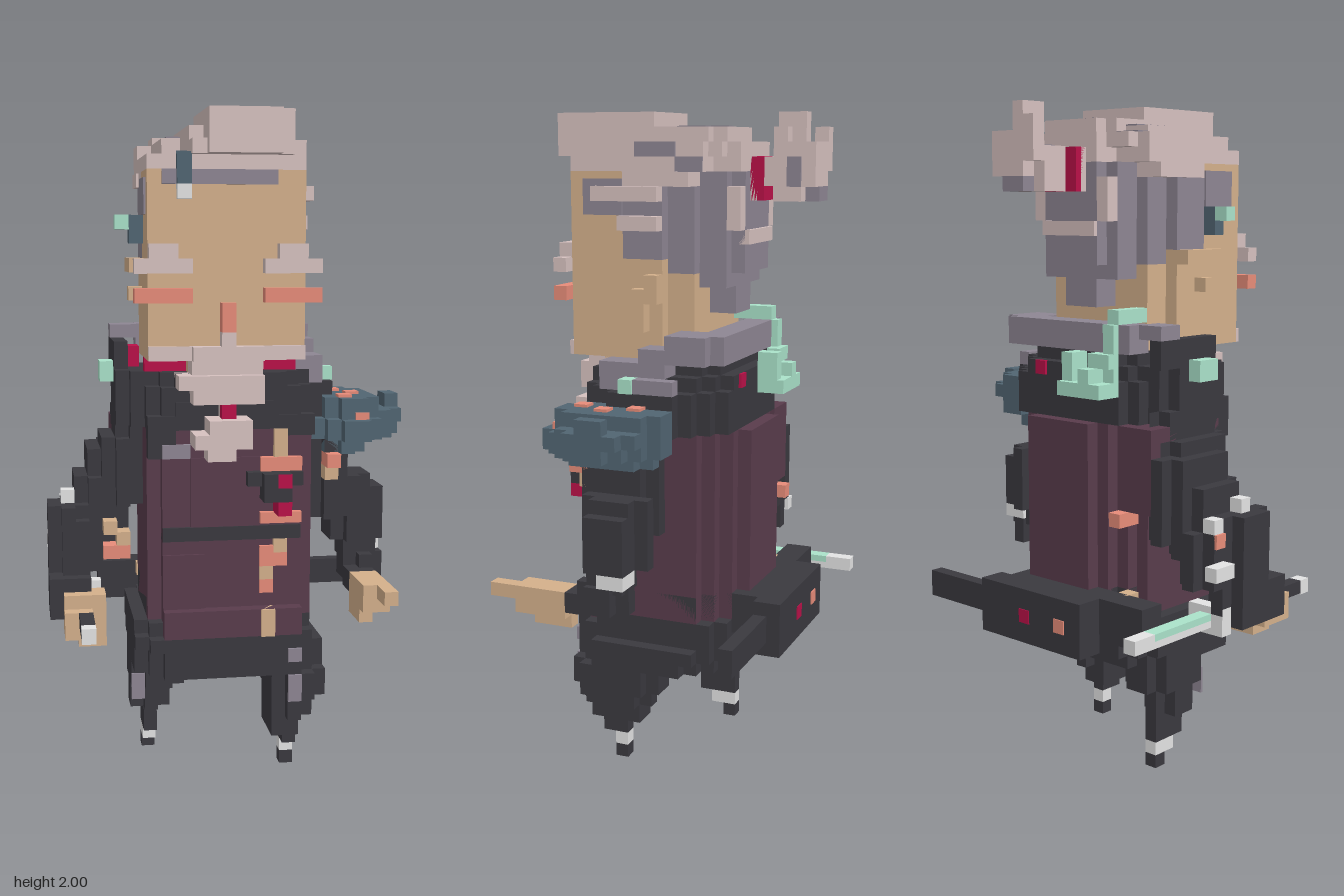
import * as THREE from 'three';
import { mergeGeometries } from 'three/addons/utils/BufferGeometryUtils.js';

// One cell of the block grid; x is centred, y starts at the ground, z counts 0 (back) to 21 (front)
const U = 2 / 48;

function mat(name, hex) {
  const m = new THREE.MeshStandardMaterial({ color: hex });
  m.name = name;
  return m;
}

function box(x0, x1, y0, y1, z0, z1) {
  const g = new THREE.BoxGeometry((x1 - x0) * U, (y1 - y0) * U, (z1 - z0) * U);
  g.translate((x0 + x1) / 2 * U, (y0 + y1) / 2 * U, ((z0 + z1) / 2 - 10.5) * U);
  return g;
}

export function createModel() {
  const root = new THREE.Group();
  const hair = mat('ash hair', 0xd6c1bf), grey = mat('grey hair', 0x8e8693), skin = mat('skin', 0xd4b08b);
  const salmon = mat('salmon', 0xe78c79), dark = mat('charcoal cloth', 0x3a393f), plum = mat('plum cloth', 0x593c4c);
  const blue = mat('slate blue', 0x516572), mint = mat('mint', 0xaae2ca), pale = mat('pale metal', 0xe3e3e3), red = mat('crimson', 0xb91148);

  // Each block is [x0, x1, y0, y1, z0, z1, corner]; corner cuts stepped corners in plan
  function part(name, material, ...blocks) {
    const geos = [];
    for (const [x0, x1, y0, y1, z0, z1, c = 0] of blocks)
      for (let i = 0; i <= c; i++) geos.push(box(x0 + i, x1 - i, y0, y1, z0 + c - i, z1 - c + i));
    const mesh = new THREE.Mesh(mergeGeometries(geos), material);
    mesh.name = name;
    root.add(mesh);
  }
  // Mirror across the face's centre line
  const both = (...bs) => bs.flatMap(b => [b, [-1 - b[1], -1 - b[0], ...b.slice(2)]]);

  // Head
  part('head', skin, [-6, 5, 31, 44, 13, 17], [-6, 5, 31, 38, 10, 13], [-5, 4, 31, 37, 8, 10], [-3, 2, 29, 31, 9, 16]);
  part('ears', skin, [5, 6, 33, 36, 11, 12], [5, 6, 35, 37, 10, 11], [-7, -6, 37, 38, 10, 14], [-7, -6, 35, 36, 12, 13]);
  part('eyebrows', hair, ...both([3, 5, 38, 39, 17, 18], [2, 6, 37, 38, 17, 18]));
  part('eyes', salmon, ...both([2, 6, 35, 36, 17, 18]));
  part('nose', salmon, [-1, 0, 33, 35, 17, 18]);
  part('beard', hair, [-1, 0, 32, 33, 17, 18], ...both([2, 5, 31, 32, 17, 17.3]), [-3, 2, 31, 32, 17, 18],
    [-3, 2, 30, 31, 15, 17.3], [-4, 2, 29, 30, 15, 18], [-3, 2, 28, 29, 15, 18], [-2, 1, 26, 27, 16, 19],
    [-1, 0, 27, 28, 16, 17], [-3, 1, 25, 26, 16, 19], [-2, 0, 24, 25, 16, 18]);
  part('beardTie', red, [-1, 0, 27, 28, 17, 18]);

  // Hair
  part('hairBack', grey, [-6, 5, 38, 43, 10, 13], [-5, 4, 37, 43, 8, 10], [-4, 3, 36, 44, 6, 8], [-3, 2, 37, 44, 5, 6],
    [-2, 1, 34, 36, 6, 8]);
  part('hairline', grey, [-3, 3, 43, 44, 17, 17.2], [-5, -4, 43, 44, 17, 17.2], ...both([5, 5.15, 41, 43.5, 13, 16]));
  part('hairCrown', hair, [-6, 5, 43, 44, 8, 13], [-6, 5, 44, 45, 7, 17], [-6, 5, 45, 46, 6, 11, 1],
    [-5, -4, 45, 46, 11, 17], [-3, 5, 45, 46, 11, 17], [-3, 4, 46, 47, 6, 17, 1], [-5, -3, 46, 46.5, 8, 11],
    [-3, 3, 44, 46, 5, 7], [-3, 4, 45, 46, 17, 18]);
  part('hairTop', hair, [-2, 4, 45, 48, 11, 18], [-2, 3, 45, 48, 11, 19]);
  part('hairLocks', hair, [5, 6, 42, 43, 10, 15], [5, 6, 40, 41, 10, 13], ...both([4, 5.2, 43, 44, 8, 11]),
    [-4, -3, 40, 43, 5, 6], [2, 3, 40, 43, 5, 6], [-3, 2, 39, 40, 4.7, 6], [-2, 1, 42, 45, 4.5, 6]);
  part('hairStreaks', grey, [-1, 0, 47, 47.1, 7, 11], [1, 2, 47, 47.1, 8, 10], [-4, -3, 46.5, 46.6, 8, 11], [5, 5.15, 45, 46, 9, 12],
    [5, 5.15, 44, 45, 7, 9], [-5, -3, 46, 46.1, 7, 8]);
  part('hairPin', blue, [-4, -3, 43, 45, 17, 17.6], [-4, -3, 45, 45.2, 16, 17]);
  part('hairPinTip', pale, [-4, -3, 42, 43, 17, 17.6], [-4, -3, 45, 45.2, 15, 16]);
  part('hairPinEnd', mint, [-4, -3, 45, 45.2, 11, 15]);
  part('bunTie', red, [-2, 1, 42, 45, 4, 5]);
  part('bun', hair, [-2, 2, 42, 45, 1, 3], [-1, 2, 43, 46, 0, 2], [0, 1, 46, 48, 1, 3], [-1, 1, 43, 45, 3, 4],
    [-2, -1, 45, 47, 0, 1], [-2, 0, 44, 45, 0, 1], [1, 2, 45, 47, 2, 3]);
  part('bunShade', grey, [-1, 1, 42, 43, 0, 1], [2, 2.15, 43, 45, 1, 2], [-1, 0, 45, 45.1, 2, 3]);
  part('earring', mint, [-8, -7, 40, 41, 13, 14]);
  part('earringMount', blue, [-7, -6, 39, 41, 13, 14]);

  // Collar and shoulders
  part('shoulders', dark, [-7, 7, 26, 29, 5, 16, 2], [-6, 6, 29, 30, 5, 16, 2], [-5, 5, 30, 31, 6, 13, 1],
    [-8, -5, 26, 30, 7, 14, 1], [-8, -7, 30, 32, 6, 12], [5, 8, 26, 29, 7, 14, 1]);
  part('collar', grey, [-6, 6, 31, 33, 5, 7], [-8, -6, 32, 33, 6, 8], [4, 7, 31, 33, 6, 9],
    [5, 7, 30, 32, 9, 11], [5, 7, 29, 31, 11, 14], [7, 8, 29, 30, 8, 11]);
  part('neckBand', red, [-6, 5, 30, 31, 13, 14], [-7, -6, 30, 31.5, 8, 10], [2, 3, 29, 30, 4.8, 5.2]);
  part('collarStuds', mint, [-9, -8, 29, 30.5, 9, 11], [7, 8.2, 29, 30, 11, 12]);
  part('backOrnament', mint, [-5, -4, 29, 33, 4.5, 5], [-5, -3, 30, 31, 4, 5], [-5, -1, 28, 29, 3, 5], [-2, -1, 29, 31, 3.5, 5],
    [-4, -3, 29, 30, 3, 5], [-5, -4, 33, 34, 5, 8]);

  // Coat
  part('coat', plum, [-6, 6, 12, 26, 6, 16, 1], [-5, 5, 12, 26, 5, 7, 1], [-4, 4, 13, 26, 4, 6, 1], [-8, -5, 20, 26, 5, 8],
    [-5, 5, 11, 13, 15, 17]);
  part('coatPanels', plum, [-3, 2, 19, 24, 16, 16.2], [-5, -2, 13, 17, 16, 16.2]);
  part('belt', dark, [-5, 5, 18, 19, 15, 16.25]);
  part('lapels', dark, [-6, -4, 24, 27, 14, 16.2], [3, 6, 25.5, 27, 14, 16.2], [-4, 3, 26, 28, 15, 16.2]);
  part('lapelEdge', grey, [-5, -3, 24, 25, 16, 16.3], [-3, -2, 25, 26, 16, 16.3]);
  part('clasp', dark, [2, 4, 21, 23, 16, 18], [1, 5, 22, 23, 16, 17]);
  part('claspGem', red, [3, 4, 20, 21, 16, 18], [3, 4, 22, 23, 17.9, 18.04]);
  part('trim', salmon, [2, 5, 23, 24, 16, 16.6], [2, 5, 19.2, 20, 16, 16.5], [2, 4, 16, 17.5, 16, 16.3], [2, 3, 14, 15, 16, 16.2],
    [-6, -5, 19, 20, 4, 6]);
  part('trimLight', skin, [3, 4, 24, 26, 16, 16.4], [3, 4, 17, 18, 16, 16.35], [2, 3, 15, 16, 16, 16.2], [2, 3, 12, 13, 16, 17.2],
    [2, 3, 11, 12, 16, 17.2], [-6, -5, 13, 14, 4.8, 6]);

  // Skirt and legs, left foot forward
  part('skirt', dark, [-7, 6, 10, 11, 5, 17, 1], [-7, 6, 11, 12, 5, 16, 1], [-6, 6, 12, 14, 5, 15.9, 2], [-7, 7, 9, 10, 5, 17, 2],
    [-7, 7, 8, 9, 6, 17, 2], [-5, 5, 7.5, 8, 8, 15, 2]);
  part('leftLeg', dark, [3, 7, 6, 8, 10, 17, 1], [3, 6, 4.5, 6, 11, 17, 1], [3, 5, 3, 5, 12, 16], [4, 5, 2, 3, 13, 15], [4, 5, 0, 1, 13, 14]);
  part('rightLeg', dark, [-7, -3, 6, 8, 7, 13, 1], [-7, -4, 4, 6, 8, 12, 1], [-6, -5, 2, 4, 8, 11], [-6, -5, 0, 1, 8, 9]);
  part('ankles', pale, [4, 5, 1, 2, 13, 14], [-6, -5, 1, 2, 8, 10]);
  part('kneePatches', grey, [4, 5, 6, 8, 17, 17.2], [4, 5, 9, 10, 17, 17.2], [-7, -6, 5, 7, 12, 12.2]);

  // Right arm with sword
  part('rightArm', dark, [-8, -6, 24, 27, 6, 13, 1], [-9, -6, 20, 25, 6, 13, 1], [-10, -7, 18, 24, 5, 12, 1], [-11, -8, 17, 22, 6, 12, 1],
    [-12, -9, 15, 19, 6, 13, 1], [-13, -10, 13, 20, 8, 13, 1], [-13, -10, 12, 15, 9, 14]);
  part('rightCuff', pale, [-12, -11, 20, 21, 10, 11], [-13, -12, 16, 17, 6, 8], [-12, -11, 19, 20, 7, 8]);
  part('rightArmTrim', salmon, [-9, -7, 16, 17, 11, 12.5], [-12.2, -11, 18, 19, 7, 8]);
  part('rightArmEdge', skin, [-9, -8, 18, 19, 12, 13.3], [-8, -7, 17, 18, 11, 12.5]);
  part('rightHand', skin, [-12, -9, 12, 14, 13, 15], [-12, -10, 11, 13, 13, 16], [-11, -9, 10.2, 12, 13, 15]);
  part('swordGrip', dark, [-11, -10, 12, 13, 16, 19]);
  part('swordPommel', pale, [-11, -10, 11.9, 13, 19, 20]);
  part('swordGuard', pale, [-12, -9, 11.5, 13.5, 8, 9]);
  part('swordBlade', mint, [-11, -10, 12.5, 13, 2, 9]);
  part('swordEdge', pale, [-11, -10, 12, 12.5, 2, 9], [-11, -10, 12, 13, 0, 2]);

  // Left arm with shoulder guard
  part('leftArm', dark, [6, 9, 19, 25, 9, 15, 1], [8, 11, 17, 22, 9, 14, 1], [9, 12, 17, 21, 10, 13], [9, 12, 14, 16, 10, 14, 1], [9, 11, 13.5, 15, 13, 15]);
  part('leftCuff', pale, [10, 12, 16, 17, 10, 12]);
  part('leftWrist', dark, [9, 11.5, 15.5, 17.5, 10.3, 13]);
  part('leftHand', skin, [9, 11, 13, 15, 15, 19], [10, 11, 14, 15, 19, 21], [9, 10, 12, 13, 15, 18]);
  part('shoulderGuard', blue, [7, 11, 26, 28, 8, 16, 1], [6, 12, 25, 26.5, 8, 17, 2], [8, 13, 26, 27, 9, 15, 1],
    [12, 13, 25, 28, 11, 13], [7, 10, 24, 25, 9, 16, 1]);
  part('guardStuds', salmon, [8, 9, 27, 28.2, 10, 11], [9, 10, 27, 28.2, 12, 13], [8, 9, 27, 28.2, 14, 15], [9, 10, 26, 27, 15, 16.2],
    [7, 8, 23, 24, 14, 16]);
  part('sleevePatch', skin, [7, 8, 22, 23, 14, 15.2]);

  // Scabbard across the back
  part('scabbard', dark, [-5, 5, 10, 14, 1, 3], [4, 12, 11, 13, 2, 3], [-9, 4, 11, 14, 3, 5]);
  part('scabbardGem', red, [0, 1, 11.5, 12.5, 0.92, 1.1]);
  part('scabbardStud', salmon, [-3.5, -2.5, 11.5, 12.5, 0.92, 1.1]);
  return root;
}
